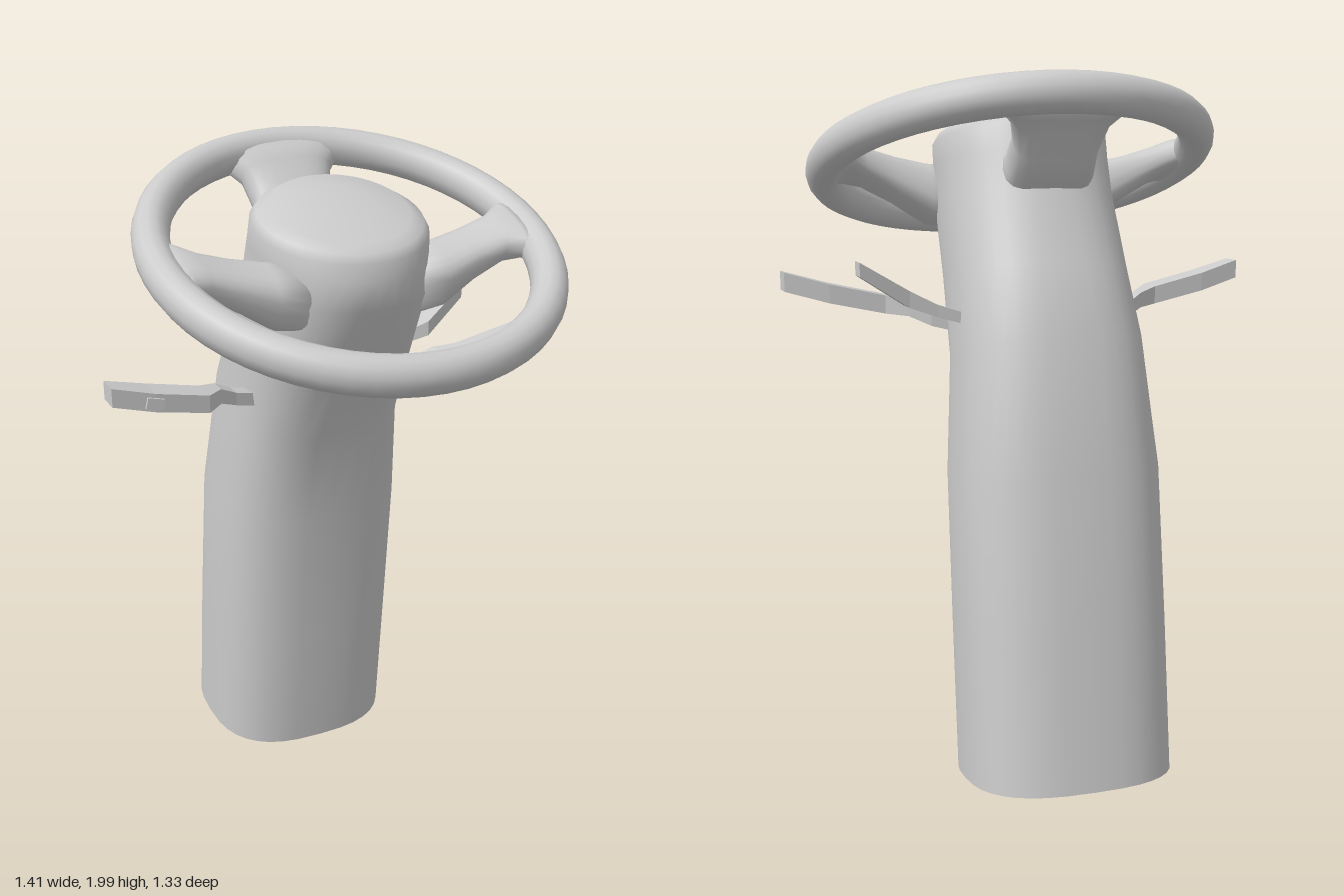
import * as THREE from 'three';

const smooth = new THREE.MeshStandardMaterial({ color: 0xcccccc, side: THREE.DoubleSide });
const faceted = new THREE.MeshStandardMaterial({ color: 0xcccccc, flatShading: true, side: THREE.DoubleSide });

// Ring of points around centre c: half-axes a and b (vectors), n = squareness (2 is an ellipse)
function ring(c, a, b, n, seg, start = 0) {
  const pow = (v) => Math.sign(v) * Math.abs(v) ** (2 / n);
  return Array.from({ length: seg }, (_, i) => {
    const t = start + (i / seg) * Math.PI * 2;
    return c.clone().addScaledVector(a, pow(Math.cos(t))).addScaledVector(b, pow(Math.sin(t)));
  });
}

// Skin over rings that run counter-clockwise about the sweep direction
function loft(name, rings, material, capStart = true, capEnd = true) {
  const n = rings[0].length, last = (rings.length - 1) * n;
  const points = rings.flat(), index = [];
  for (let i = 0; i < rings.length - 1; i++) {
    for (let j = 0; j < n; j++) {
      const a = i * n + j, b = i * n + ((j + 1) % n);
      index.push(a, b, b + n, a, b + n, a + n);
    }
  }
  const cap = (base, r, flip) => {
    const m = points.length;
    points.push(r.reduce((s, p) => s.add(p), new THREE.Vector3()).divideScalar(n));
    for (let j = 0; j < n; j++) {
      const a = base + j, b = base + ((j + 1) % n);
      if (flip) index.push(b, a, m); else index.push(a, b, m);
    }
  };
  if (capStart) cap(0, rings[0], true);
  if (capEnd) cap(last, rings[rings.length - 1], false);
  const g = new THREE.BufferGeometry().setFromPoints(points);
  g.setIndex(index);
  g.computeVertexNormals();
  const mesh = new THREE.Mesh(g, material);
  mesh.name = name;
  return mesh;
}

const V = (x, y, z) => new THREE.Vector3(x, y, z);

// Bent column rising into the round domed hub
function column() {
  // front z, front y, back z, back y, half width, squareness
  const sections = [
    [-0.145, 0.005, -0.67, 0.06, 0.295, 2.7],
    [-0.1, 0.43, -0.615, 0.48, 0.295, 2.7],
    [-0.05, 0.86, -0.555, 0.92, 0.292, 2.7],
    [0.01, 1.16, -0.48, 1.3, 0.262, 2.7],
    [0.13, 1.39, -0.4, 1.48, 0.253, 2.5],
    [0.25, 1.62, -0.31, 1.67, 0.25, 2.3],
    [0.25, 1.7, -0.265, 1.79, 0.253, 2.1],
    [0.242, 1.75, -0.235, 1.86, 0.255, 2.05],
    [0.23, 1.775, -0.215, 1.885, 0.24, 2],
    [0.195, 1.795, -0.17, 1.905, 0.2, 2],
    [0.1, 1.837, -0.08, 1.895, 0.1, 2],
  ];
  const rings = sections.map(([fz, fy, bz, by, w, n]) => ring(
    V(0, (fy + by) / 2, (fz + bz) / 2),
    V(0, (fy - by) / 2, (fz - bz) / 2), V(w, 0, 0), n, 36));
  return loft('columnAndHub', rings, smooth, false, true);
}

// Spoke along +x of the wheel plane, turned about the wheel axis
function spoke(name, angle, sections, side = 1) {
  // radius, height, half thickness, half width, sideways offset
  const rings = sections.map(([r, v, t, w, o]) =>
    ring(V(r, v, o * side), V(0, t, 0), V(0, 0, w), 2.6, 20));
  const mesh = loft(name, rings, smooth);
  mesh.rotation.y = angle;
  return mesh;
}

function wheel() {
  const g = new THREE.Group();
  g.name = 'steeringWheel';
  const rimGeometry = new THREE.TorusGeometry(0.557, 0.053, 14, 56);
  rimGeometry.rotateX(Math.PI / 2).scale(1, 1.1, 1);
  const rim = new THREE.Mesh(rimGeometry, smooth);
  rim.name = 'rim';
  const sideSections = [
    [0.17, -0.1, 0.09, 0.095, 0.04],
    [0.26, -0.09, 0.085, 0.092, 0.04],
    [0.36, -0.05, 0.062, 0.08, 0.025],
    [0.45, -0.015, 0.05, 0.08, 0.015],
    [0.5, 0, 0.05, 0.105, 0.01],
    [0.54, 0, 0.042, 0.16, 0.01],
  ];
  const backSections = [
    [0.2, -0.14, 0.08, 0.14, 0],
    [0.33, -0.13, 0.08, 0.13, 0],
    [0.4, -0.085, 0.065, 0.125, 0],
    [0.46, -0.035, 0.055, 0.145, 0],
    [0.5, -0.01, 0.05, 0.19, 0],
    [0.535, 0, 0.042, 0.23, 0],
  ];
  g.add(rim,
    spoke('leftSpoke', 0, sideSections),
    spoke('rightSpoke', Math.PI, sideSections, -1),
    spoke('backSpoke', Math.PI / 2, backSections));
  g.position.set(0, 1.75, 0.085);
  g.rotation.x = THREE.MathUtils.degToRad(19.5);
  return g;
}

// Cranked control lever; side is +1 for left, -1 for right
function lever(name, sections, side) {
  // x, y, z, half height, half depth
  const rings = sections.map(([x, y, z, h, d]) => {
    const r = ring(V(x * side, y, z), V(0, h, 0), V(0, 0, d), 20, 4, Math.PI / 4);
    return side < 0 ? r.reverse() : r;
  });
  return loft(name, rings, faceted);
}

export function createModel() {
  const model = new THREE.Group();
  model.name = 'steeringColumn';
  model.add(column(), wheel());

  const mainLever = [
    [0.22, 1.285, -0.1, 0.02, 0.025],
    [0.3, 1.305, -0.085, 0.02, 0.025],
    [0.36, 1.335, -0.055, 0.023, 0.028],
    [0.42, 1.345, -0.005, 0.027, 0.045],
    [0.58, 1.38, 0.005, 0.028, 0.047],
    [0.705, 1.415, 0.014, 0.028, 0.036],
  ];
  const smallLever = [
    [0.22, 1.315, -0.24, 0.016, 0.02],
    [0.32, 1.345, -0.235, 0.018, 0.022],
    [0.4, 1.38, -0.22, 0.024, 0.04],
    [0.545, 1.468, -0.26, 0.02, 0.03],
  ];
  model.add(
    lever('leftLever', mainLever, 1),
    lever('rightLever', mainLever, -1),
    lever('smallLeftLever', smallLever, 1));

  // Small switch on the front of the right lever
  const button = new THREE.Mesh(new THREE.BoxGeometry(0.05, 0.032, 0.016), faceted);
  button.name = 'leverSwitch';
  button.position.set(-0.585, 1.38, 0.05);
  button.rotation.z = -0.24;
  model.add(button);
  return model;
}
